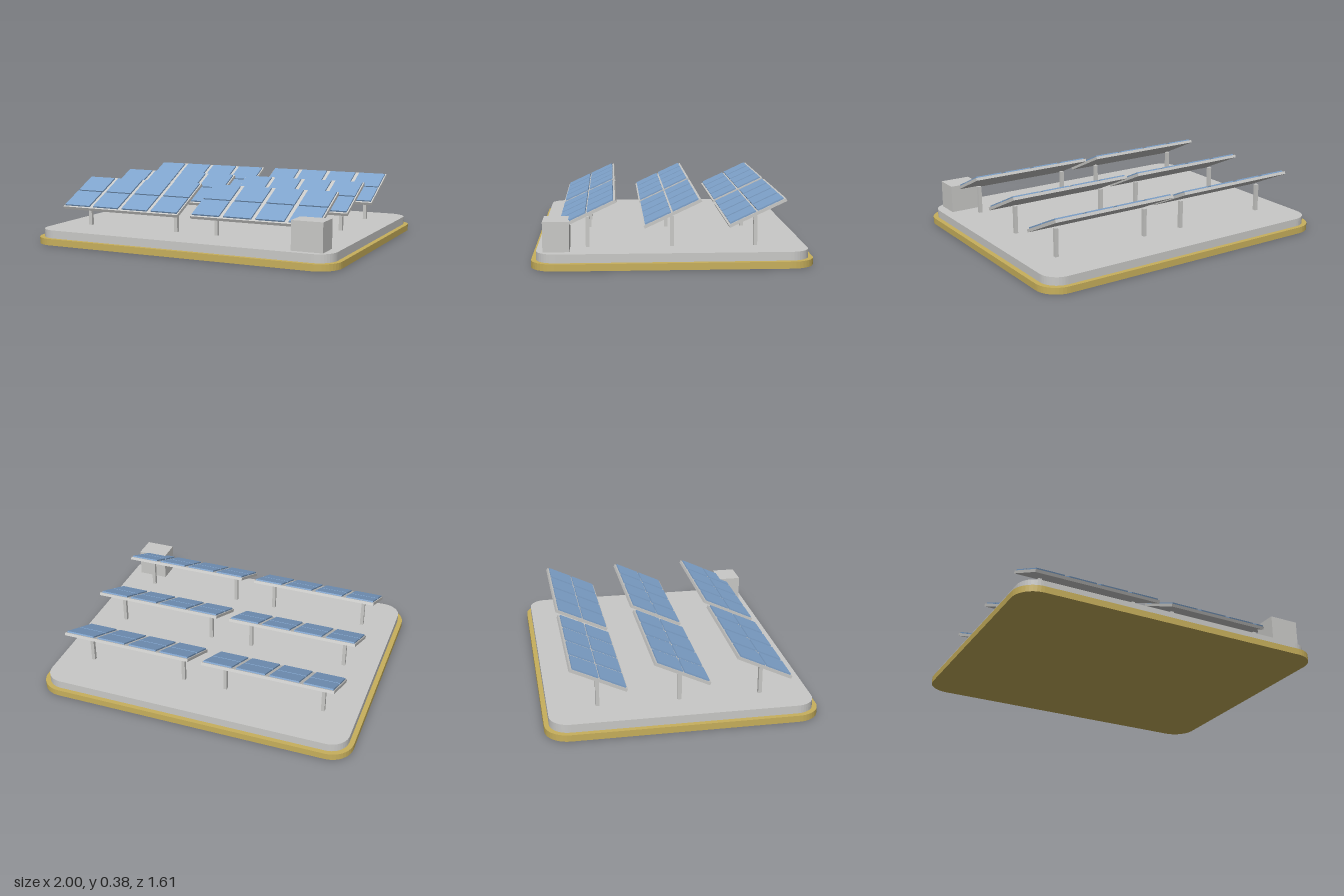
import * as THREE from 'three';

const flat = (name, color) => {
  const m = new THREE.MeshStandardMaterial({ color });
  m.name = name;
  return m;
};

// Rounded rectangular plate lying flat, from y0 up to y1
function plate(w, d, r, y0, y1, material, name) {
  const x = w / 2 - r, z = d / 2 - r, s = new THREE.Shape();
  s.absarc(x, z, r, 0, Math.PI / 2);
  s.absarc(-x, z, r, Math.PI / 2, Math.PI);
  s.absarc(-x, -z, r, Math.PI, Math.PI * 1.5);
  s.absarc(x, -z, r, Math.PI * 1.5, Math.PI * 2);
  const g = new THREE.ExtrudeGeometry(s, { depth: y1 - y0, bevelEnabled: false, curveSegments: 5 });
  g.rotateX(-Math.PI / 2);
  const mesh = new THREE.Mesh(g, material);
  mesh.position.y = y0;
  mesh.name = name;
  return mesh;
}

function box(w, h, d, x, y, z, material, name) {
  const mesh = new THREE.Mesh(new THREE.BoxGeometry(w, h, d), material);
  mesh.position.set(x, y, z);
  mesh.name = name;
  return mesh;
}

export function createModel() {
  const grey = flat('concreteGrey', 0xc9c9c7);
  const blue = flat('cellBlue', 0x7fa3cc);
  const gold = flat('baseGold', 0xc8b05c);

  const model = new THREE.Group();
  model.name = 'solarFarm';

  // Stepped ground base
  model.add(plate(2, 1.606, 0.14, 0, 0.04, gold, 'baseRim'));
  model.add(plate(1.94, 1.55, 0.115, 0.04, 0.09, grey, 'groundSlab'));

  // Three rows of paired arrays, each on two posts
  for (const z of [-0.485, 0, 0.485]) {
    for (const x of [-0.449, 0.449]) {
      const array = new THREE.Group();
      array.name = 'solarArray';
      array.position.set(x, 0, z);

      // Tilted frame with four by two cells
      const panel = new THREE.Group();
      panel.name = 'tiltedPanel';
      panel.position.y = 0.293;
      panel.rotation.x = THREE.MathUtils.degToRad(25);
      panel.add(box(0.812, 0.018, 0.36, 0, 0, 0, grey, 'panelFrame'));
      for (let col = 0; col < 4; col++) {
        for (const row of [-1, 1]) {
          panel.add(box(0.178, 0.009, 0.162, (col - 1.5) * 0.206, 0.0135, row * 0.0865, blue, 'solarCell'));
        }
      }
      array.add(panel);

      for (const side of [-1, 1]) {
        array.add(box(0.022, 0.175, 0.022, side * 0.311, 0.1775, 0, grey, 'supportPost'));
      }
      model.add(array);
    }
  }

  // Inverter cabinet at the front left corner
  model.add(box(0.19, 0.173, 0.15, 0.815, 0.1765, 0.66, grey, 'inverterCabinet'));
  return model;
}
